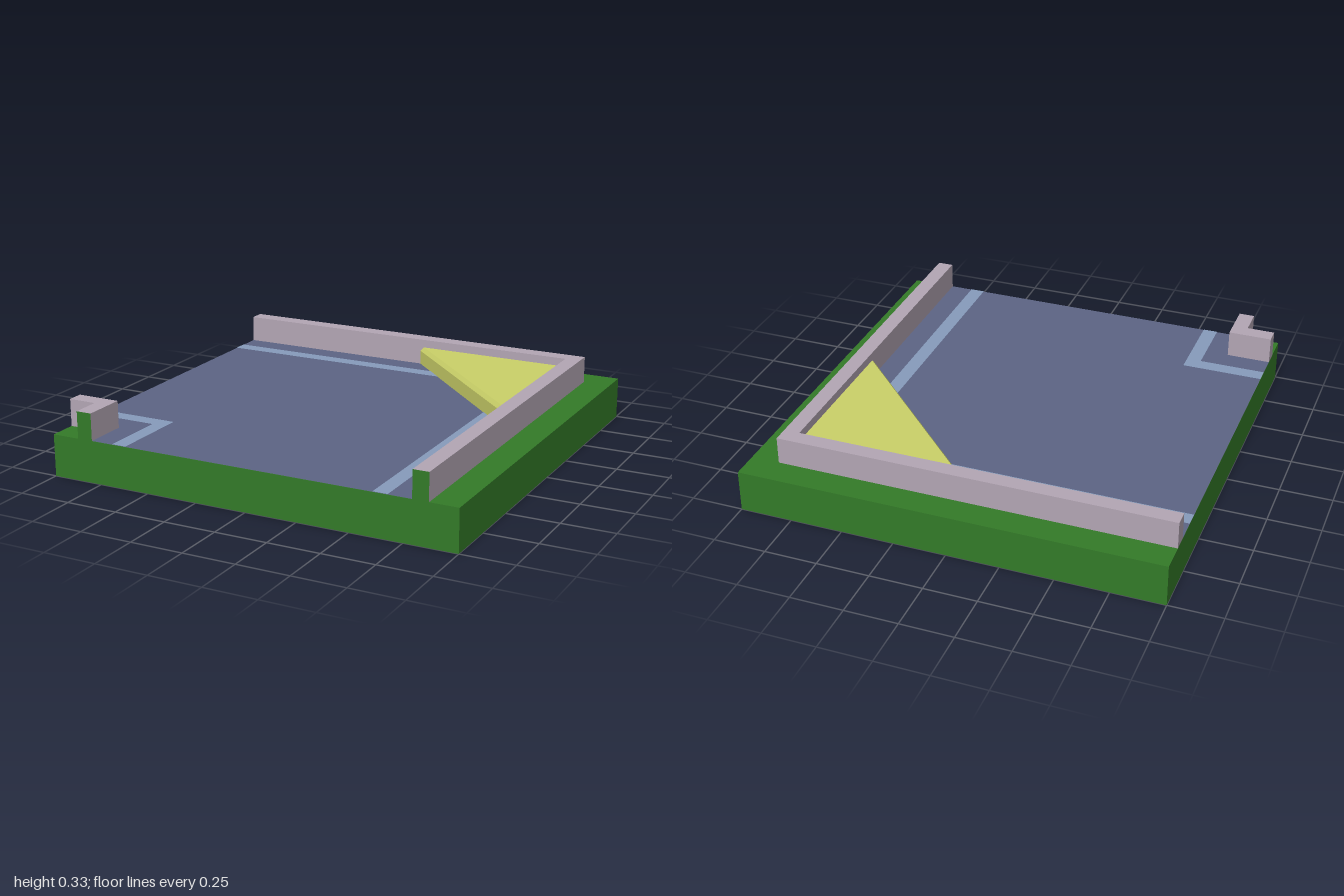
import * as THREE from 'three';

const mat = (color) => new THREE.MeshStandardMaterial({ color, flatShading: true });

export function createModel() {
  const group = new THREE.Group();
  const green = mat(0x337a28);
  const slate = mat(0x5c6484);
  const blue = mat(0x869bbb);
  const mauve = mat(0xb2a5b3);
  const yellow = mat(0xcad068);
  const TOP = 0.2, WALL_TOP = 0.33;

  const add = (name, geometry, material) => {
    const mesh = new THREE.Mesh(geometry, material);
    mesh.name = name;
    group.add(mesh);
    return mesh;
  };
  // Box given by its limits on each axis
  const box = (name, x0, x1, y0, y1, z0, z1, material) =>
    add(name, new THREE.BoxGeometry(x1 - x0, y1 - y0, z1 - z0), material)
      .position.set((x0 + x1) / 2, (y0 + y1) / 2, (z0 + z1) / 2);
  // Flat polygon of [x, z] corners lying at height y
  const flat = (name, corners, y, material) => {
    const shape = new THREE.Shape(corners.map(([x, z]) => new THREE.Vector2(x, -z)));
    add(name, new THREE.ShapeGeometry(shape).rotateX(-Math.PI / 2), material).position.y = y;
  };

  // Ground slab
  box('ground', -1, 1, 0, TOP, -1, 1, green);

  // Floor, notched around the small corner
  flat('floor', [[-1, -0.79], [0.79, -0.79], [0.79, 1], [-0.79, 1], [-0.79, 0.79], [-1, 0.79]],
    TOP + 0.001, slate);

  // Painted stripes running parallel to the walls
  flat('outerStripe', [[-1, -0.68], [0.68, -0.68], [0.68, 1], [0.61, 1], [0.61, -0.61], [-1, -0.61]],
    TOP + 0.003, blue);
  flat('cornerStripe', [[-1, 0.61], [-0.61, 0.61], [-0.61, 1], [-0.68, 1], [-0.68, 0.68], [-1, 0.68]],
    TOP + 0.003, blue);

  // Walls; those cut at the front edge have a green end
  const greenEnd = [mauve, mauve, mauve, mauve, green, mauve];
  box('backWall', -1, 0.79, TOP, WALL_TOP, -0.865, -0.79, mauve);
  box('sideWall', 0.79, 0.865, TOP, WALL_TOP, -0.865, 1, greenEnd);
  box('cornerWallAcross', -1, -0.865, TOP, WALL_TOP, 0.79, 0.865, mauve);
  box('cornerWallFront', -0.865, -0.79, TOP, WALL_TOP, 0.79, 1, greenEnd);

  // Triangular corner block with a chamfer along its diagonal face
  const triangle = (inset) => [[inset, -0.79], [0.79, -0.79], [0.79, -inset]];
  const rings = [[0, TOP], [0, 0.27], [0.02, 0.29]];
  const positions = [];
  const index = [];
  rings.forEach(([inset, y]) => triangle(inset).forEach(([x, z]) => positions.push(x, y, z)));
  for (let r = 0; r < 2; r++) {
    for (let i = 0; i < 3; i++) {
      const a = r * 3 + i, b = r * 3 + (i + 1) % 3;
      index.push(a, a + 3, b, b, a + 3, b + 3);
    }
  }
  index.push(6, 8, 7, 0, 1, 2);
  const block = new THREE.BufferGeometry();
  block.setAttribute('position', new THREE.Float32BufferAttribute(positions, 3));
  block.setIndex(index);
  const faceted = block.toNonIndexed();
  faceted.computeVertexNormals();
  add('cornerBlock', faceted, yellow);

  return group;
}
